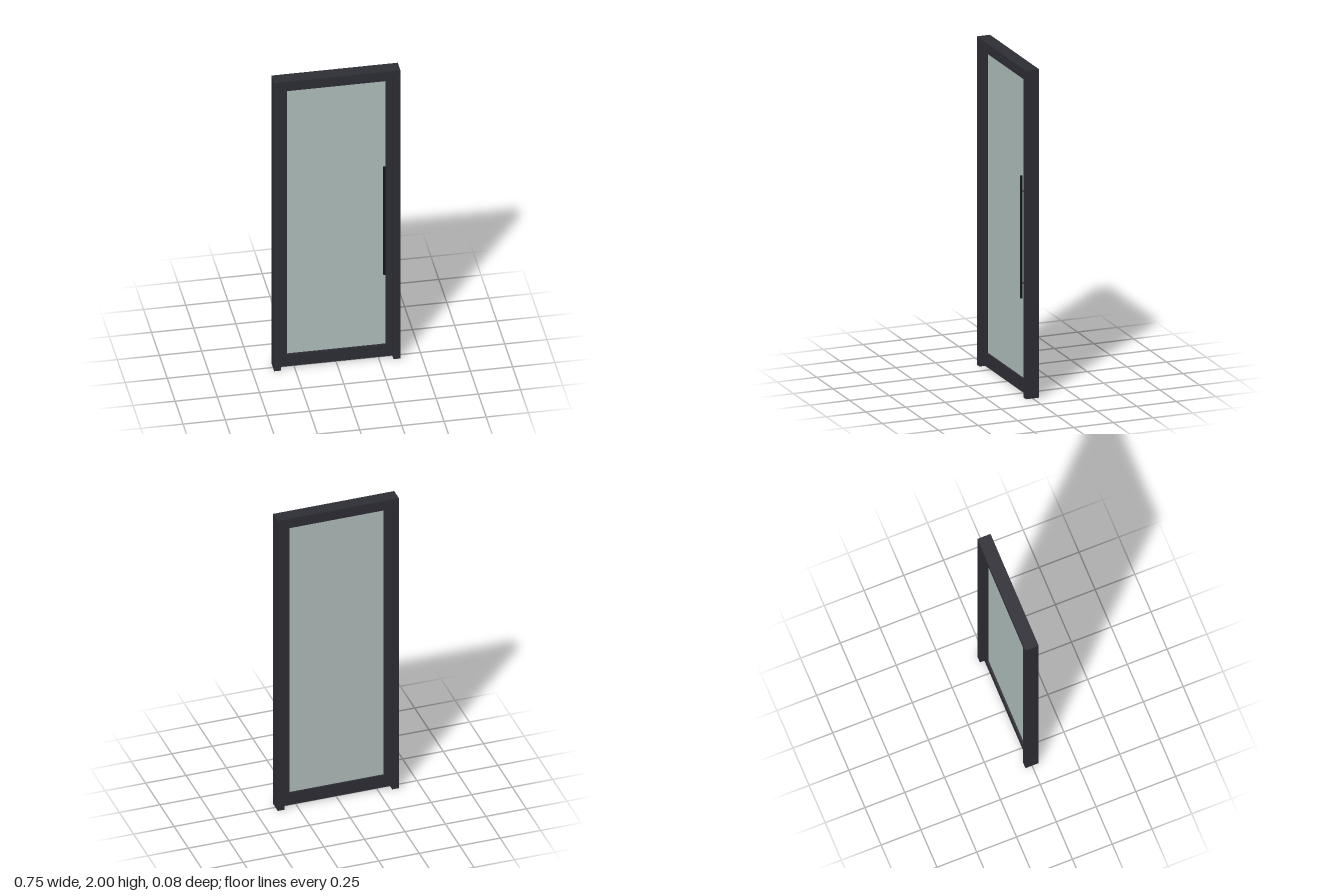
import * as THREE from 'three';

const frameMat = new THREE.MeshStandardMaterial({ color: 0x2e2e36 });
frameMat.name = 'dark anodised frame';
const handleMat = new THREE.MeshStandardMaterial({ color: 0x15171b });
handleMat.name = 'black handle';
const glassMat = new THREE.MeshStandardMaterial({ color: 0xb2c1bf });
glassMat.name = 'pale green glass';

// Box given by its minimum and maximum corners
function box(name, mat, [x0, y0, z0], [x1, y1, z1]) {
  const mesh = new THREE.Mesh(new THREE.BoxGeometry(x1 - x0, y1 - y0, z1 - z0), mat);
  mesh.position.set((x0 + x1) / 2, (y0 + y1) / 2, (z0 + z1) / 2);
  mesh.name = name;
  return mesh;
}

// Extruded panel with a rectangular opening, centred on z = 0
function ring(name, mat, [x, y0, y1], [hx, hy0, hy1], depth) {
  const rect = (P, w, a, b) => new P().moveTo(-w, a).lineTo(w, a).lineTo(w, b).lineTo(-w, b).closePath();
  const shape = rect(THREE.Shape, x, y0, y1);
  shape.holes.push(rect(THREE.Path, hx, hy0, hy1));
  const geo = new THREE.ExtrudeGeometry(shape, { depth, bevelEnabled: false });
  geo.translate(0, 0, -depth / 2);
  const mesh = new THREE.Mesh(geo, mat);
  mesh.name = name;
  return mesh;
}

export function createModel() {
  const group = new THREE.Group();
  group.name = 'glazedDoor';

  // Fixed surround: two jambs and a header, open at the floor
  const W = 0.374, D = 0.0415, inner = 0.333, top = 1.959;
  const surround = new THREE.Group();
  surround.name = 'surround';
  surround.add(
    box('leftJamb', frameMat, [inner, 0, -D], [W, top, D]),
    box('rightJamb', frameMat, [-W, 0, -D], [-inner, top, D]),
    box('header', frameMat, [-W, top, -D], [W, 2, D])
  );
  group.add(surround);

  // Door leaf, with a narrow gap all round and a deeper bottom rail
  const leaf = new THREE.Group();
  leaf.name = 'leaf';
  leaf.add(
    ring('leafFrame', frameMat, [0.329, 0.008, 1.954], [0.293, 0.09, 1.917], 0.028),
    box('glassPane', glassMat, [-0.293, 0.09, -0.003], [0.293, 1.917, 0.003])
  );
  group.add(leaf);

  // Long pull bar on the front, held by two short posts
  const handle = new THREE.Group();
  handle.name = 'handle';
  handle.add(box('pullBar', handleMat, [0.2745, 0.588, 0.026], [0.2865, 1.335, 0.037]));
  for (const y of [0.68, 1.24]) {
    const post = new THREE.Mesh(new THREE.CylinderGeometry(0.004, 0.004, 0.024, 12), handleMat);
    post.rotation.x = Math.PI / 2;
    post.position.set(0.2805, y, 0.015);
    post.name = 'handlePost';
    handle.add(post);
  }
  group.add(handle);

  return group;
}
